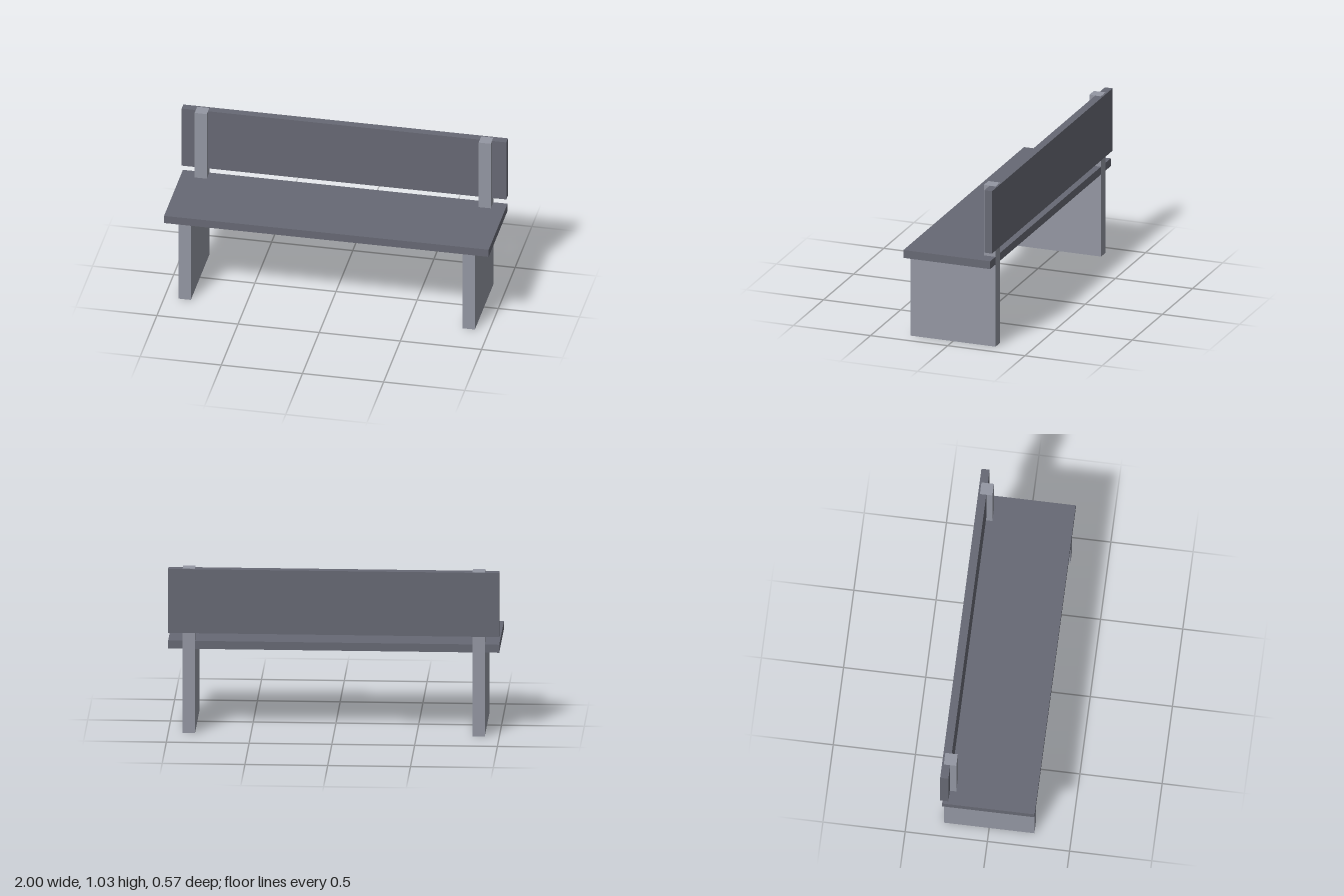
import * as THREE from 'three';

const dark = new THREE.MeshStandardMaterial({ color: 0x676974, side: THREE.DoubleSide });
dark.name = 'darkSlate';
const light = new THREE.MeshStandardMaterial({ color: 0x9497a3, side: THREE.DoubleSide });
light.name = 'lightGrey';

// Hollow box without an underside, given by its limits on each axis
function openBox(name, material, [x0, x1], [y0, y1], [z0, z1]) {
  const geometry = new THREE.BoxGeometry(x1 - x0, y1 - y0, z1 - z0);
  const index = Array.from(geometry.index.array);
  index.splice(18, 6); // drop the bottom face
  geometry.setIndex(index);
  geometry.clearGroups();
  const mesh = new THREE.Mesh(geometry, material);
  mesh.name = name;
  mesh.position.set((x0 + x1) / 2, (y0 + y1) / 2, (z0 + z1) / 2);
  return mesh;
}

export function createModel() {
  const bench = new THREE.Group();
  bench.name = 'bench';

  // Planks
  bench.add(openBox('seat', dark, [-1, 1], [0.525, 0.575], [-0.275, 0.287]));
  bench.add(openBox('backrest', dark, [-1, 1], [0.626, 1.025], [-0.287, -0.237]));

  // Slab legs with posts rising behind the seat, just proud of the planks
  for (const [side, x] of [['left', 0.875], ['right', -0.875]]) {
    const width = [x - 0.0375, x + 0.0375];
    bench.add(openBox(side + 'Leg', light, width, [0, 0.572], [-0.276, 0.275]));
    bench.add(openBox(side + 'Post', light, width, [0.572, 1.026], [-0.276, -0.2]));
  }
  return bench;
}
